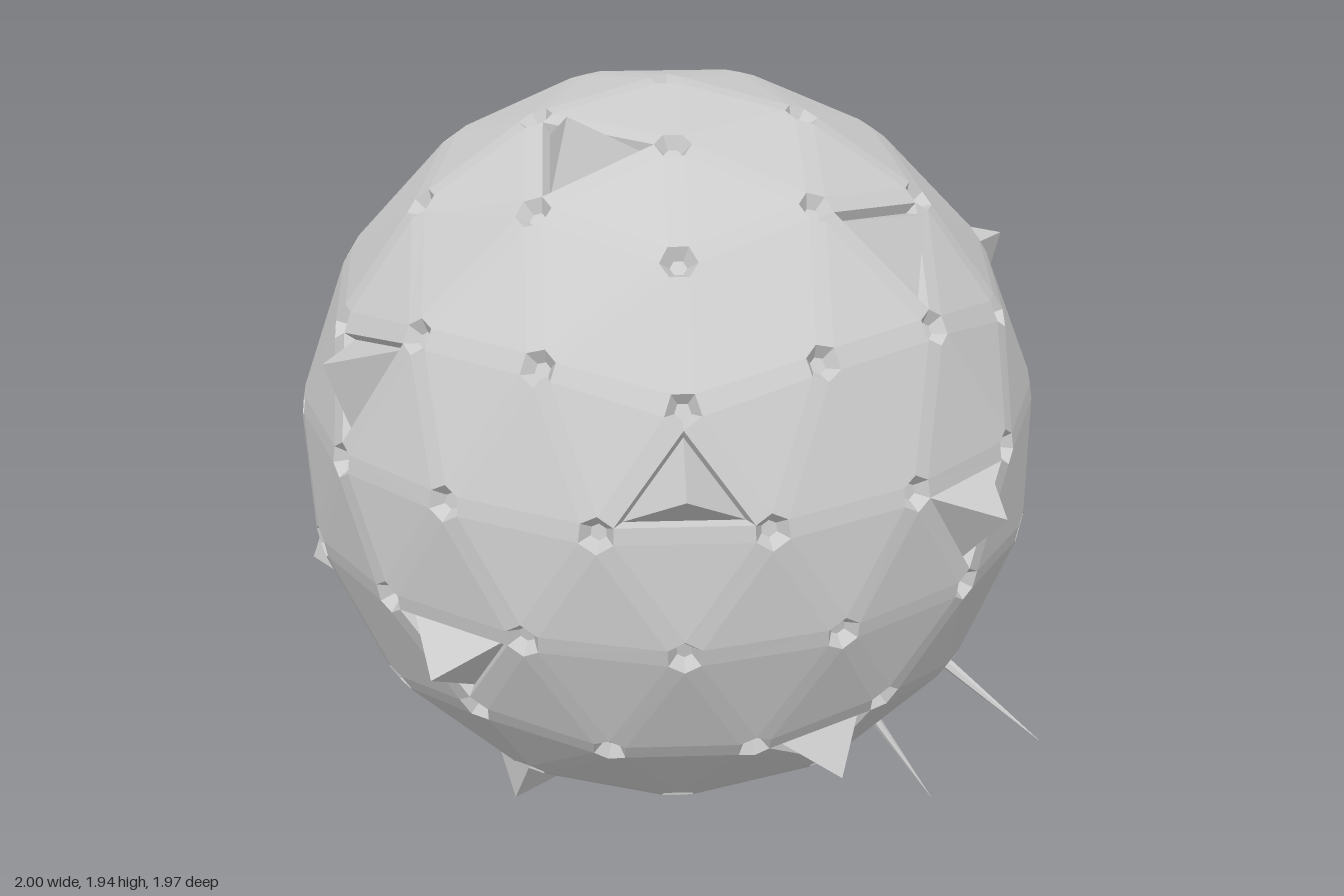
import * as THREE from 'three';

const R = 0.944;          // radius at the lattice points
const INSET = 0.046;      // how far panel corners sit from a lattice point
const RAD = Math.PI / 180;

const polar = (theta, el) => new THREE.Vector3(
  Math.cos(el * RAD) * Math.cos(theta * RAD), Math.sin(el * RAD), Math.cos(el * RAD) * Math.sin(theta * RAD));

function slerp(a, b, t) {
  const w = a.angleTo(b);
  if (w < 1e-6) return a.clone();
  return a.clone().multiplyScalar(Math.sin((1 - t) * w) / Math.sin(w))
    .addScaledVector(b, Math.sin(t * w) / Math.sin(w));
}

// Collects triangles that always face away from the ball's centre
class Soup {
  constructor() { this.pos = []; }
  tri(a, b, c) {
    const n = b.clone().sub(a).cross(c.clone().sub(a));
    const mid = a.clone().add(b).add(c);
    const order = n.dot(mid) >= 0 ? [a, b, c] : [a, c, b];
    order.forEach(p => this.pos.push(p.x, p.y, p.z));
  }
  quad(a, b, c, d) { this.tri(a, b, c); this.tri(a, c, d); }
  band(outer, inner) {
    outer.forEach((p, i) => {
      const k = (i + 1) % outer.length;
      this.quad(p, outer[k], inner[k], inner[i]);
    });
  }
  fan(ring, tip) { ring.forEach((p, i) => this.tri(p, ring[(i + 1) % ring.length], tip)); }
  mesh(name, material) {
    const g = new THREE.BufferGeometry();
    g.setAttribute('position', new THREE.Float32BufferAttribute(this.pos, 3));
    g.computeVertexNormals();
    const m = new THREE.Mesh(g, material);
    m.name = name;
    return m;
  }
}

// Three-way split of a twenty-sided ball: lattice points and small triangles
function buildLattice() {
  const el = Math.atan(0.5) / RAD;
  const top = polar(0, 90), bottom = polar(0, -90);
  const U = i => polar(72 * i, el), L = i => polar(36 + 72 * i, -el);
  const points = [], index = new Map(), tris = [];
  const id = p => {
    const key = p.toArray().map(v => Math.round(v * 1000) + 0).join();
    if (!index.has(key)) { index.set(key, points.length); points.push(p.clone().multiplyScalar(R)); }
    return index.get(key);
  };
  const split = (a, b, c) => {
    const row = [];
    for (let i = 0; i <= 3; i++) {
      const s = slerp(a, b, i / 3), e = slerp(a, c, i / 3);
      row.push(Array.from({ length: i + 1 }, (_, j) => id(slerp(s, e, i ? j / i : 0))));
    }
    for (let i = 0; i < 3; i++) for (let j = 0; j <= i; j++) {
      tris.push([row[i][j], row[i + 1][j], row[i + 1][j + 1]]);
      if (j < i) tris.push([row[i][j], row[i][j + 1], row[i + 1][j + 1]]);
    }
  };
  for (let i = 0; i < 5; i++) {
    split(top, U(i), U(i + 1));
    split(L(i), U(i), U(i + 1));
    split(U(i + 1), L(i), L(i + 1));
    split(bottom, L(i), L(i + 1));
  }
  return { points, tris };
}

// Directions (turn from +x toward +z, elevation) of the panels that carry a pyramid
const PYRAMIDS = [
  [72, 15], [108, -15], [132, 22.5], [108, 66], [44, -35.6], [121, -58], [24, 3], [19, 45],
  [-36, 24], [-24, -22.5], [-72, -66], [-108, 39], [-168, 16.6], [168, -22.5], [-84, -3], [-132, -16.7],
];
// Lattice points that carry a long spike
const SPIKES = [[13.4, -31.1], [0, -53.6]];

export function createModel() {
  const group = new THREE.Group();
  group.name = 'spikedBall';
  const material = new THREE.MeshStandardMaterial({ color: 0xcccccc, flatShading: true });
  const { points, tris } = buildLattice();

  const centroids = tris.map(t => t.reduce((s, i) => s.add(points[i]), new THREE.Vector3()).divideScalar(3));
  const nearest = (list, dir) => list.reduce((best, p, i) => p.angleTo(dir) < list[best].angleTo(dir) ? i : best, 0);
  const raised = new Set(PYRAMIDS.map(([t, e]) => nearest(centroids, polar(t, e))));

  const panels = new Soup(), strips = new Soup(), pits = new Soup(), grooves = new Soup(), pyramids = new Soup();
  const around = points.map(() => []);   // panel corners around each lattice point
  const edges = new Map();               // panel sides that share an edge

  tris.forEach((t, k) => {
    const mid = centroids[k], out = mid.clone().normalize();
    const corner = t.map(i => points[i].clone().addScaledVector(mid.clone().sub(points[i]).normalize(), INSET));
    t.forEach((i, n) => {
      around[i].push(corner[n]);
      const j = t[(n + 1) % 3], side = [corner[n], corner[(n + 1) % 3]];
      const key = Math.min(i, j) + '-' + Math.max(i, j);
      if (i > j) side.reverse();
      edges.set(key, [...(edges.get(key) || []), side]);
    });
    if (raised.has(k)) {
      // sunken groove with a pyramid standing in it
      const base = corner.map(c => c.clone().lerp(mid, 0.13).addScaledVector(out, -0.025));
      grooves.band(corner, base);
      pyramids.fan(base, out.clone().multiplyScalar(1.03));
    } else {
      panels.tri(...corner);
    }
  });

  // bevel strips between neighbouring panels
  for (const [a, b] of edges.values()) strips.quad(a[0], a[1], b[1], b[0]);

  // tapered pits at the lattice points
  points.forEach((p, i) => {
    const n = p.clone().normalize();
    const ux = around[i][0].clone().sub(p).projectOnPlane(n).normalize();
    const uy = n.clone().cross(ux);
    const angle = c => { const d = c.clone().sub(p); return Math.atan2(d.dot(uy), d.dot(ux)); };
    const rim = around[i].slice().sort((a, b) => angle(a) - angle(b));
    const centre = rim.reduce((s, c) => s.add(c), new THREE.Vector3()).divideScalar(rim.length);
    const floor = rim.map(c => c.clone().lerp(centre, 0.55).addScaledVector(n, -0.03));
    pits.band(rim, floor);
    pits.fan(floor, centre.addScaledVector(n, -0.03));
  });

  group.add(
    panels.mesh('panels', material), strips.mesh('bevelStrips', material), pits.mesh('pits', material),
    grooves.mesh('pyramidGrooves', material), pyramids.mesh('pyramids', material));

  // long thin spikes
  SPIKES.forEach(([t, e]) => {
    const dir = points[nearest(points, polar(t, e))].clone().normalize();
    const from = 0.9, tip = 1.237;
    const spike = new THREE.Mesh(new THREE.ConeGeometry(0.016, tip - from, 6), material);
    spike.name = 'spike';
    spike.position.copy(dir).multiplyScalar((from + tip) / 2);
    spike.quaternion.setFromUnitVectors(new THREE.Vector3(0, 1, 0), dir);
    group.add(spike);
  });

  group.position.set(-0.036, 1.0, 0.036);
  const model = new THREE.Group();
  model.name = 'model';
  model.add(group);
  return model;
}
